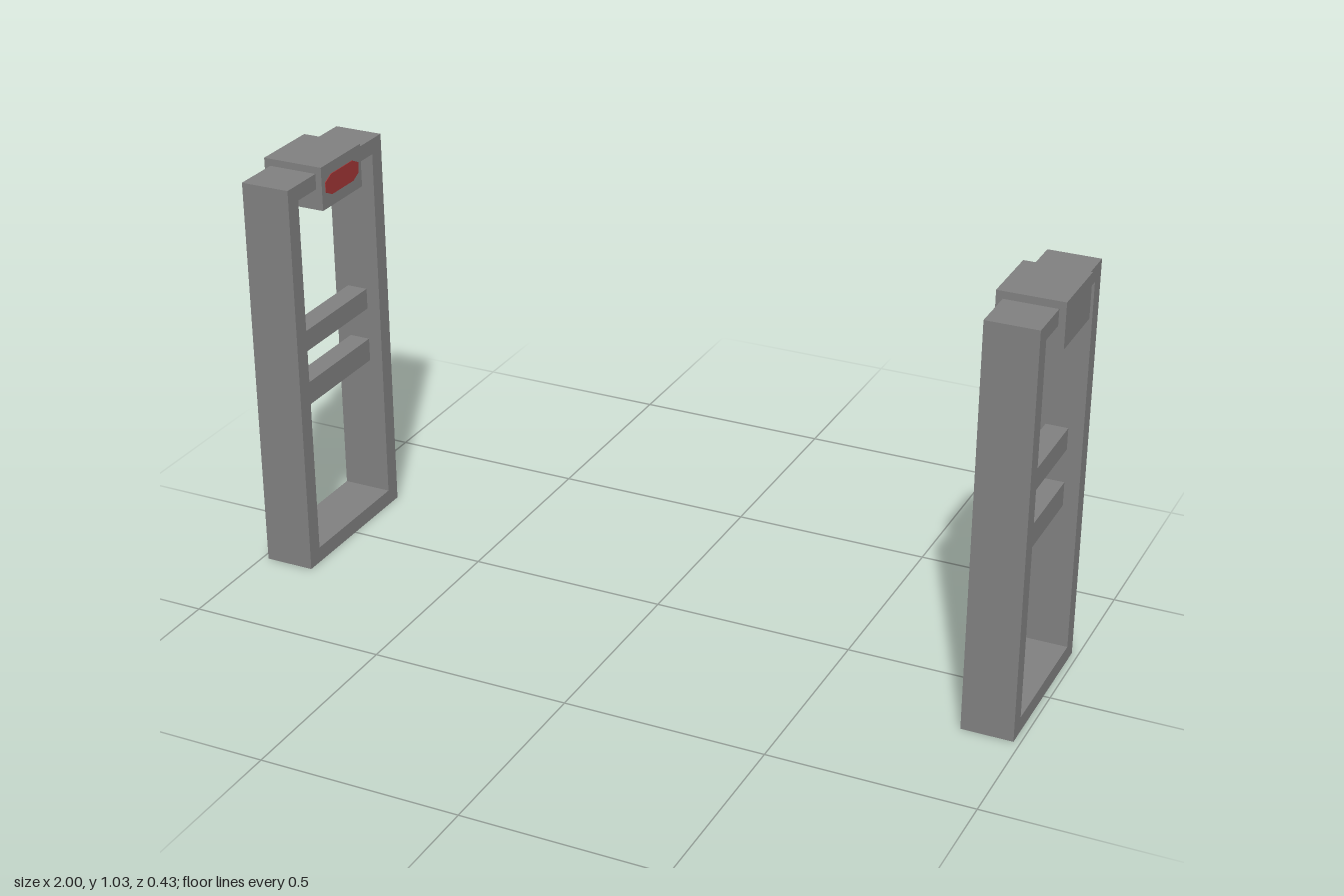
import * as THREE from 'three';

export function createModel() {
  const model = new THREE.Group();
  model.name = 'gatePair';
  const grey = new THREE.MeshStandardMaterial({ color: 0x808080 });
  grey.name = 'grey metal';
  const red = new THREE.MeshStandardMaterial({ color: 0xa03636 });
  red.name = 'red lens';

  const addMesh = (parent, name, geometry, material) => {
    const mesh = new THREE.Mesh(geometry, material);
    mesh.name = name;
    parent.add(mesh);
    return mesh;
  };

  // Polygon in (z, y), extruded along x and centred on x = 0
  const extrudeAlongX = (shape, depth) =>
    new THREE.ExtrudeGeometry(shape, { depth, bevelEnabled: false })
      .translate(0, 0, -depth / 2)
      .rotateY(Math.PI / 2);
  const points = (list) => list.map(([a, b]) => new THREE.Vector2(a, b));

  const createGate = (name) => {
    const gate = new THREE.Group();
    gate.name = name;

    // Upright rectangular frame with an open middle
    const outline = new THREE.Shape(points([[-0.213, 0], [0.213, 0], [0.213, 1.012], [-0.213, 1.012]]));
    outline.holes.push(new THREE.Path(points([[-0.17, 0.04], [-0.17, 0.973], [0.17, 0.973], [0.17, 0.04]])));
    addMesh(gate, 'frame', extrudeAlongX(outline, 0.126), grey);

    // Two crossbars between the posts
    for (const [bar, y0, y1] of [['upperCrossbar', 0.552, 0.606], ['lowerCrossbar', 0.408, 0.468]]) {
      addMesh(gate, bar, new THREE.BoxGeometry(0.054, y1 - y0, 0.34), grey).position.y = (y0 + y1) / 2;
    }

    // Sensor block straddling the top rail
    addMesh(gate, 'sensorBlock', new THREE.BoxGeometry(0.158, 0.11, 0.18), grey).position.y = 0.975;

    // Thin chamfered lens on the inner face of the block
    const w = 0.075, h = 0.026, cz = 0.026, cy = 0.013;
    const lens = new THREE.Shape(points([
      [-w, -h + cy], [-w + cz, -h], [w - cz, -h], [w, -h + cy],
      [w, h - cy], [w - cz, h], [-w + cz, h], [-w, h - cy],
    ]));
    addMesh(gate, 'lens', extrudeAlongX(lens, 0.004), red).position.set(0.079, 0.975, 0);
    return gate;
  };

  // Two gates facing each other
  const rightGate = createGate('rightGate');
  rightGate.position.x = -0.921;
  const leftGate = createGate('leftGate');
  leftGate.position.x = 0.921;
  leftGate.rotation.y = Math.PI;
  model.add(rightGate, leftGate);
  return model;
}
